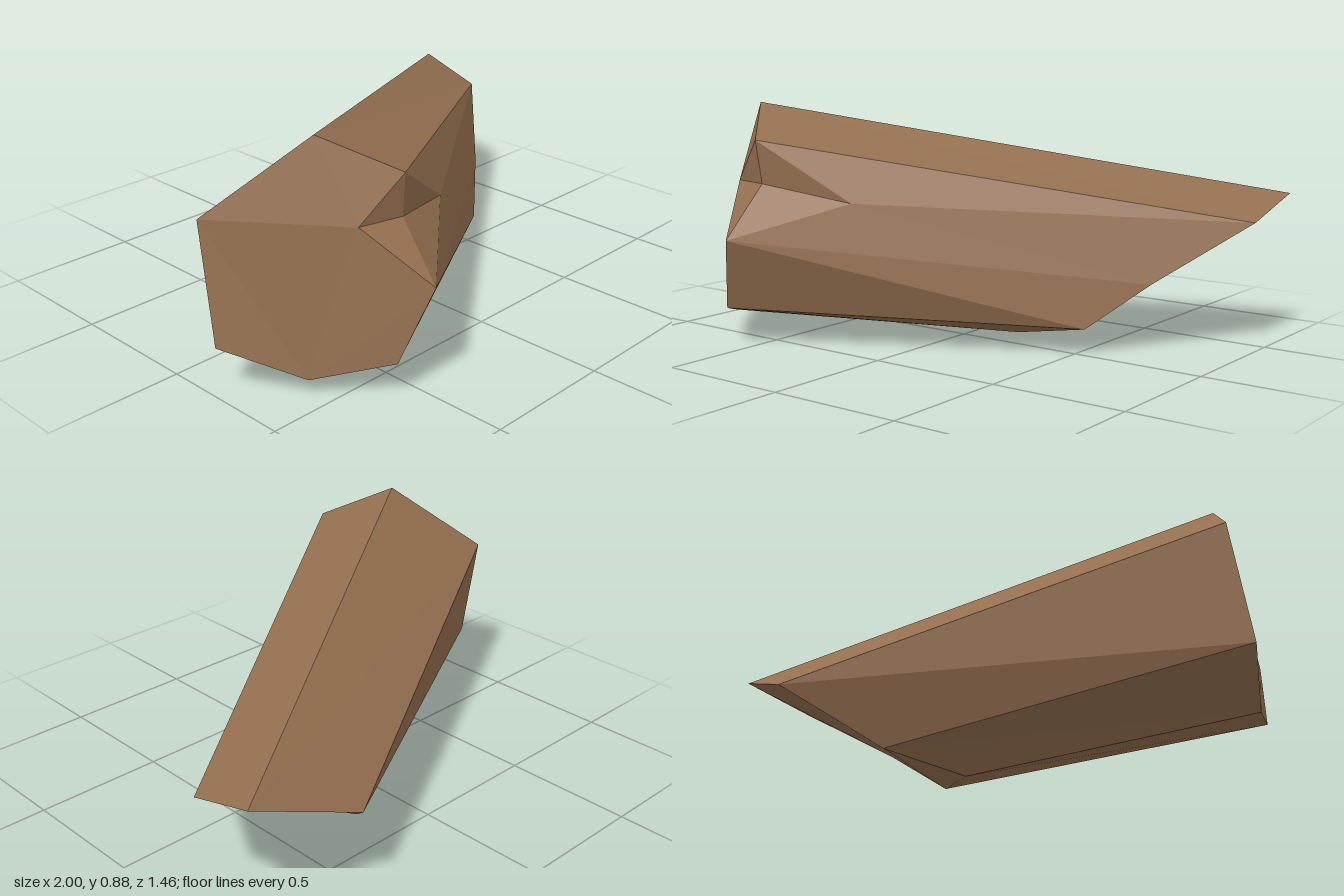
import * as THREE from 'three';

// Cross-section corners at the near (blunt) end, clockwise from the top
const near = [
  [-0.69, 0.88, 0.37], [-0.5, 0.76, 0.585], [-0.65, 0.6, 0.525], [-0.51, 0.41, 0.73],
  [-0.6, 0.14, 0.65], [-0.79, 0.07, 0.43], [-1, 0.19, 0.22], [-0.985, 0.615, 0.14],
];
// Cross-section corners at the far (slanted) end, same order
const far = [
  [1, 0.555, -0.68], [0.99, 0.475, -0.41], [0.72, 0.26, -0.15], [0.54, 0.1, 0],
  [0.15, 0.005, -0.15], [0.29, 0.1, -0.42], [0.57, 0.38, -0.73],
];
// Inner corners of the split in the side
const split = [[-0.49, 0.6, 0.565], [-0.17, 0.54, 0.44]];

// Look up a corner: A = near end, T = far end, S = split
const corner = (key) => ({ A: near, T: far, S: split })[key[0]][key[1] - 1];

// Build one flat-sided part from triangles, each written as three corner keys
function facets(name, material, triangles) {
  const points = triangles.flatMap((triangle) => triangle.split(' ').flatMap(corner));
  const geometry = new THREE.BufferGeometry();
  geometry.setAttribute('position', new THREE.Float32BufferAttribute(points, 3));
  geometry.computeVertexNormals();
  const mesh = new THREE.Mesh(geometry, material);
  mesh.name = name;
  return mesh;
}

export function createModel() {
  const model = new THREE.Group();
  model.name = 'brokenLog';
  const wood = new THREE.MeshStandardMaterial({ color: 0x946f50 });
  wood.name = 'brown wood';
  wood.flatShading = true;

  // Long sides: a strip from each near edge to its far edge
  const strips = [
    ['A8', 'A1', 'T1', 'T7'], ['A1', 'A2', 'T2', 'T1'], ['A5', 'A6', 'T5', 'T4'],
    ['A6', 'A7', 'T6', 'T5'], ['A7', 'A8', 'T7', 'T6'],
  ];
  const sides = strips.flatMap(([a, b, c, d]) => [`${a} ${b} ${c}`, `${a} ${c} ${d}`]);
  model.add(facets('longSides', wood, sides));

  // Side with the split and the facets around it
  model.add(facets('splitSide', wood, [
    'A2 S2 T2', 'A2 S1 S2', 'A2 A3 S1', 'A3 A4 S1', 'S1 A4 S2',
    'S2 T3 T2', 'A4 T3 S2', 'A4 T4 T3', 'A4 A5 T4',
  ]));

  // Blunt end and slanted end
  model.add(facets('bluntEnd', wood, [
    'A1 A3 A2', 'A1 A8 A3', 'A8 A6 A3', 'A8 A7 A6', 'A3 A6 A4', 'A4 A6 A5',
  ]));
  model.add(facets('slantedEnd', wood, [
    'T1 T2 T3', 'T1 T3 T7', 'T3 T4 T7', 'T4 T6 T7', 'T4 T5 T6',
  ]));
  return model;
}
